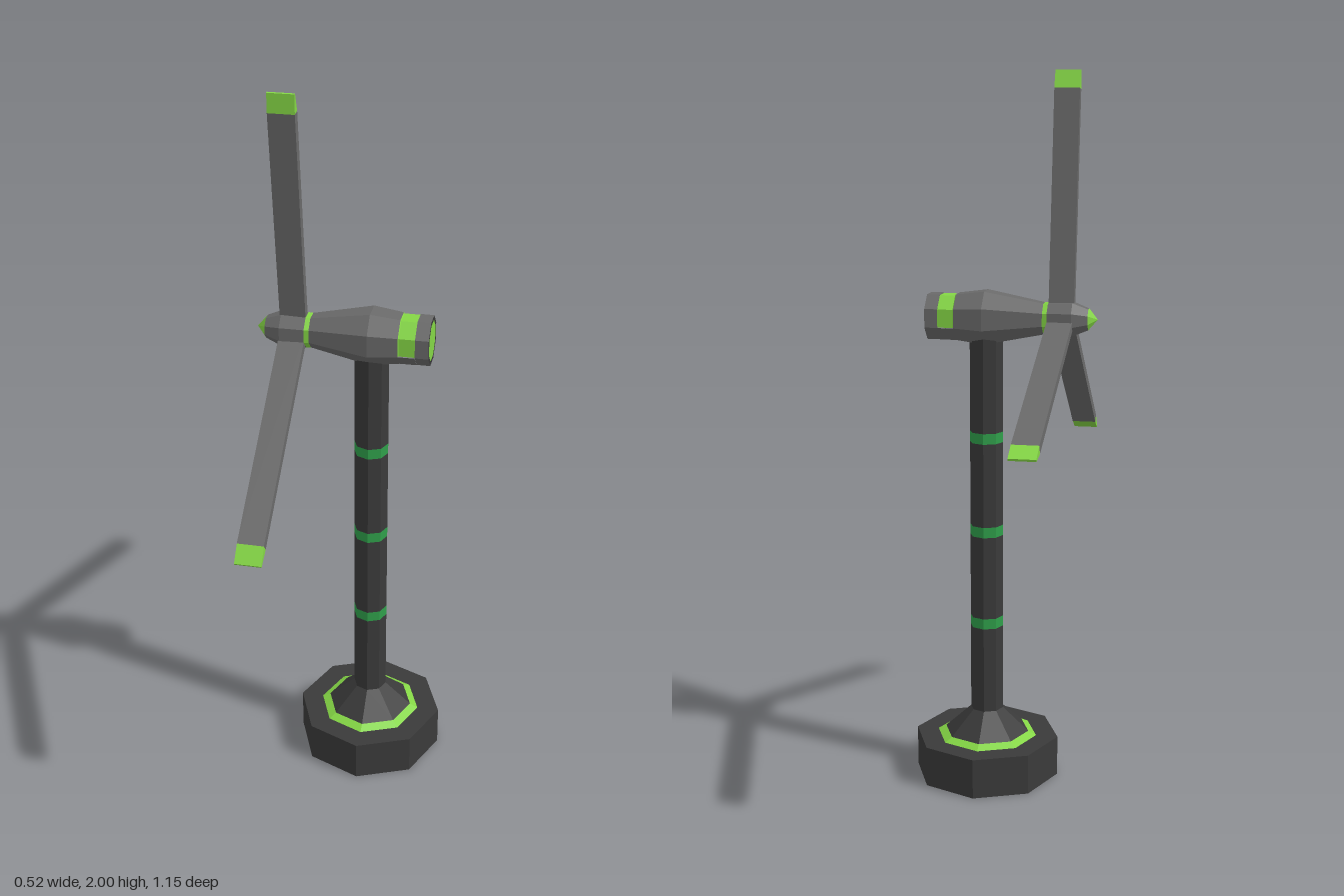
import * as THREE from 'three';

const mat = (name, color, side = THREE.FrontSide) => {
  const m = new THREE.MeshStandardMaterial({ color, side });
  m.name = name;
  return m;
};

export function createModel() {
  const dark = mat('charcoal', 0x3a3a3a, THREE.DoubleSide);
  const grey = mat('grey', 0x6a6a6a);
  const lime = mat('lime', 0x84d645);
  const green = mat('bandGreen', 0x2f9e4a);

  const CX = 0.05, CZ = 0.043, AXLE_Y = 1.337;
  const model = new THREE.Group();
  model.name = 'windTurbine';

  const faceted = (geometry) => {
    const g = geometry.toNonIndexed();
    g.computeVertexNormals();
    return g;
  };
  const add = (parent, name, geometry, material) => {
    const mesh = new THREE.Mesh(faceted(geometry), material);
    mesh.name = name;
    parent.add(mesh);
    return mesh;
  };
  // Eight-sided turned part from [radius, height] pairs
  const turned = (points, start = 0, faces = 8) => new THREE.LatheGeometry(
    points.map(([r, h]) => new THREE.Vector2(r, h)), faces, start, faces * Math.PI / 4);

  // Base and tower, corners on the axes
  const stand = new THREE.Group();
  stand.name = 'stand';
  stand.position.set(CX, 0, CZ);
  model.add(stand);
  add(stand, 'base', turned([[0.208, 0], [0.208, 0.115], [0, 0.115]]), dark);
  add(stand, 'baseRing', turned([[0.145, 0.115], [0.122, 0.127]]), lime);
  add(stand, 'foot', turned([[0.122, 0.127], [0.047, 0.195]]), dark);
  let bottom = 0.195;
  for (const y of [0.445, 0.715, 0.985]) {
    add(stand, 'towerSection', turned([[0.047, bottom], [0.047, y]]), dark);
    add(stand, 'towerBand', turned([[0.047, y], [0.047, y + 0.03]]), green);
    bottom = y + 0.03;
  }
  add(stand, 'towerSection', turned([[0.047, bottom], [0.047, 1.3]]), dark);

  // Nacelle, turned along x with a flat face on top
  const nacelle = new THREE.Group();
  nacelle.name = 'nacelle';
  nacelle.position.set(0, AXLE_Y, CZ);
  model.add(nacelle);
  const START = 7 * Math.PI / 8;
  const along = (name, points, material, start = START, faces = 8) =>
    add(nacelle, name, turned(points, start, faces).rotateZ(-Math.PI / 2), material);
  along('noseCone', [[0, -0.26], [0.031, -0.235]], lime);
  along('hub', [[0.031, -0.235], [0.049, -0.192], [0.047, -0.125]], grey);
  along('hubRing', [[0.047, -0.125], [0.046, -0.112]], lime);
  along('housing', [[0.046, -0.112], [0.079, 0.05], [0.068, 0.13]], grey);
  along('bandTop', [[0.068, 0.13], [0.065, 0.132], [0.065, 0.175]], lime, START, 5);
  along('bandUnderside', [[0.068, 0.13], [0.068, 0.175]], grey, START + 5 * Math.PI / 4, 3);
  along('rearRing', [[0.06, 0.175], [0.067, 0.175], [0.067, 0.211]], grey);
  along('rearRim', [[0.067, 0.211], [0.055, 0.211]], dark);
  along('rearCap', [[0.055, 0.211], [0, 0.211]], lime);

  // Three blades with chisel tips
  const LENGTH = 0.67, TIP = 0.05, WIDTH = 0.07, THICK = 0.025;
  for (let i = 0; i < 3; i++) {
    const blade = new THREE.Group();
    blade.name = 'blade';
    blade.position.set(-0.16, AXLE_Y, CZ);
    blade.rotation.x = THREE.MathUtils.degToRad(7.3 + 120 * i);
    nacelle.parent.add(blade);
    const body = new THREE.BoxGeometry(WIDTH, LENGTH - TIP, THICK);
    add(blade, 'bladeBody', body.translate(0, (LENGTH - TIP) / 2, 0), grey);
    const tip = new THREE.BoxGeometry(WIDTH, TIP, THICK);
    const p = tip.attributes.position;
    for (let v = 0; v < p.count; v++) {
      if (p.getY(v) > 0) p.setZ(v, p.getZ(v) * 0.25 + 0.003);
    }
    add(blade, 'bladeTip', tip.translate(0, LENGTH - TIP / 2, 0), lime);
  }
  return model;
}
